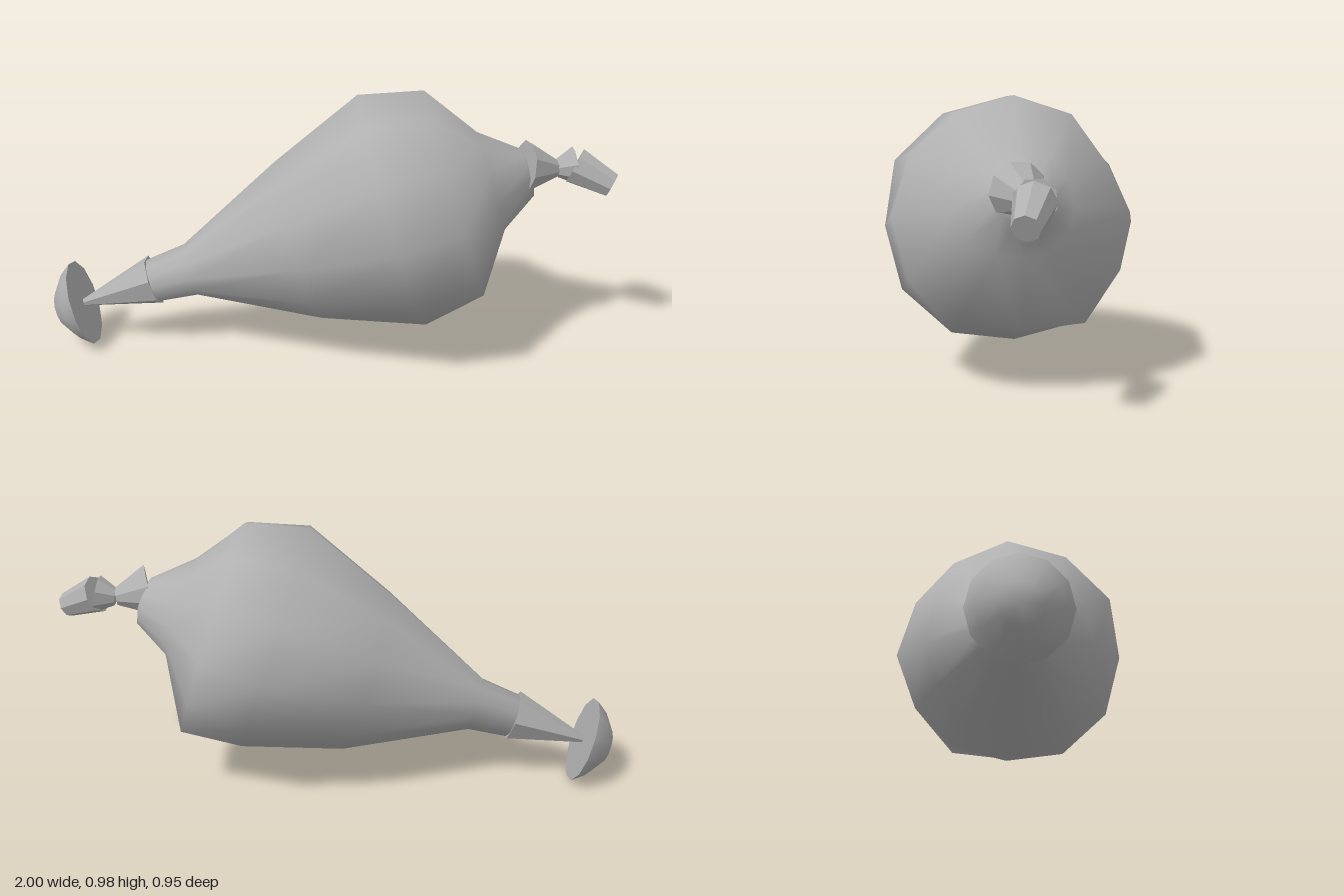
import * as THREE from 'three';
import { mergeVertices } from 'three/addons/utils/BufferGeometryUtils.js';

const V = (x, y, z) => new THREE.Vector3(x, y, z);

export function createModel() {
  const group = new THREE.Group();
  group.name = 'legOfMeat';
  const grey = new THREE.MeshStandardMaterial({ color: 0xb0b0b0 });
  grey.name = 'grey';

  // Main axis of the leg, from the shank up to the haunch.
  // Local y runs along it, local x points down and local z to the front.
  const start = V(-0.64, 0.245, 0.24);
  const axis = V(1, 0.33, -0.33).normalize();
  const front = V(0.314, 0, 0.949).normalize();
  const legTurn = new THREE.Quaternion().setFromRotationMatrix(
    new THREE.Matrix4().makeBasis(axis.clone().cross(front), axis, front));
  const along = (t) => start.clone().addScaledVector(axis, t);

  function add(name, geometry, position, quaternion) {
    const mesh = new THREE.Mesh(geometry, grey);
    mesh.name = name;
    mesh.position.copy(position);
    mesh.quaternion.copy(quaternion);
    group.add(mesh);
  }

  // Tapered faceted rod between two points
  function rod(name, a, b, ra, rb, sides) {
    const dir = b.clone().sub(a);
    const geometry = new THREE.CylinderGeometry(rb, ra, dir.length(), sides).toNonIndexed();
    geometry.computeVertexNormals();
    add(name, geometry, a.clone().lerp(b, 0.5),
      new THREE.Quaternion().setFromUnitVectors(V(0, 1, 0), dir.normalize()));
  }

  // Twelve-sided turned shape; a radius may be a list, one value per side
  // in the order front, down, back, up
  function turned(rings) {
    const geometry = new THREE.LatheGeometry(rings.map(([, t]) => new THREE.Vector2(1, t)), 12);
    const p = geometry.attributes.position;
    for (let i = 0; i < p.count; i++) {
      const r = rings[i % rings.length][0];
      const side = Math.floor(i / rings.length) % 12;
      const k = Array.isArray(r) ? r[side] : r;
      p.setXYZ(i, p.getX(i) * k, p.getY(i), p.getZ(i) * k);
    }
    geometry.deleteAttribute('uv');
    geometry.deleteAttribute('normal');
    const welded = mergeVertices(geometry, 1e-4);
    welded.computeVertexNormals();
    return welded;
  }

  // Plump body: narrow shank, uneven wide haunch, hollowed end
  const belly = [0.44, 0.445, 0.435, 0.405, 0.41, 0.41, 0.43, 0.415, 0.425, 0.46, 0.46, 0.465];
  const rim = [0.42, 0.425, 0.39, 0.39, 0.425, 0.39, 0.38, 0.35, 0.39, 0.405, 0.4, 0.41];
  const hollow = [0.22, 0.21, 0.18, 0.17, 0.17, 0.17, 0.175, 0.18, 0.19, 0.2, 0.21, 0.22];
  add('body', turned([
    [0, 0], [0.082, 0], [0.1, 0.158], [0.31, 0.59], [belly, 0.95],
    [rim, 1.18], [hollow, 1.32], [0.09, 1.455], [0, 1.48],
  ]), start, legTurn);

  // Bone at the thin end with its domed knob
  const knob = V(-0.888, 0.155, 0.324);
  rod('shankBone', knob, along(0.01), 0.014, 0.096, 7);
  add('knobDome', turned([[0, -0.105], [0.065, -0.095], [0.13, -0.045], [0.163, 0]]), knob, legTurn);
  const face = new THREE.CircleGeometry(0.163, 12).rotateX(-Math.PI / 2);
  add('knobFace', face, knob, legTurn);

  // Bent bone at the thick end
  const neck = V(0.778, 0.692, -0.232);
  const bulge = V(0.842, 0.703, -0.255);
  rod('hipSocket', V(0.675, 0.71, -0.165), neck, 0.096, 0.032, 9);
  rod('hipNeck', neck, bulge, 0.032, 0.07, 8);
  rod('hipStub', bulge, V(0.978, 0.642, -0.255), 0.07, 0.046, 8);

  return group;
}
